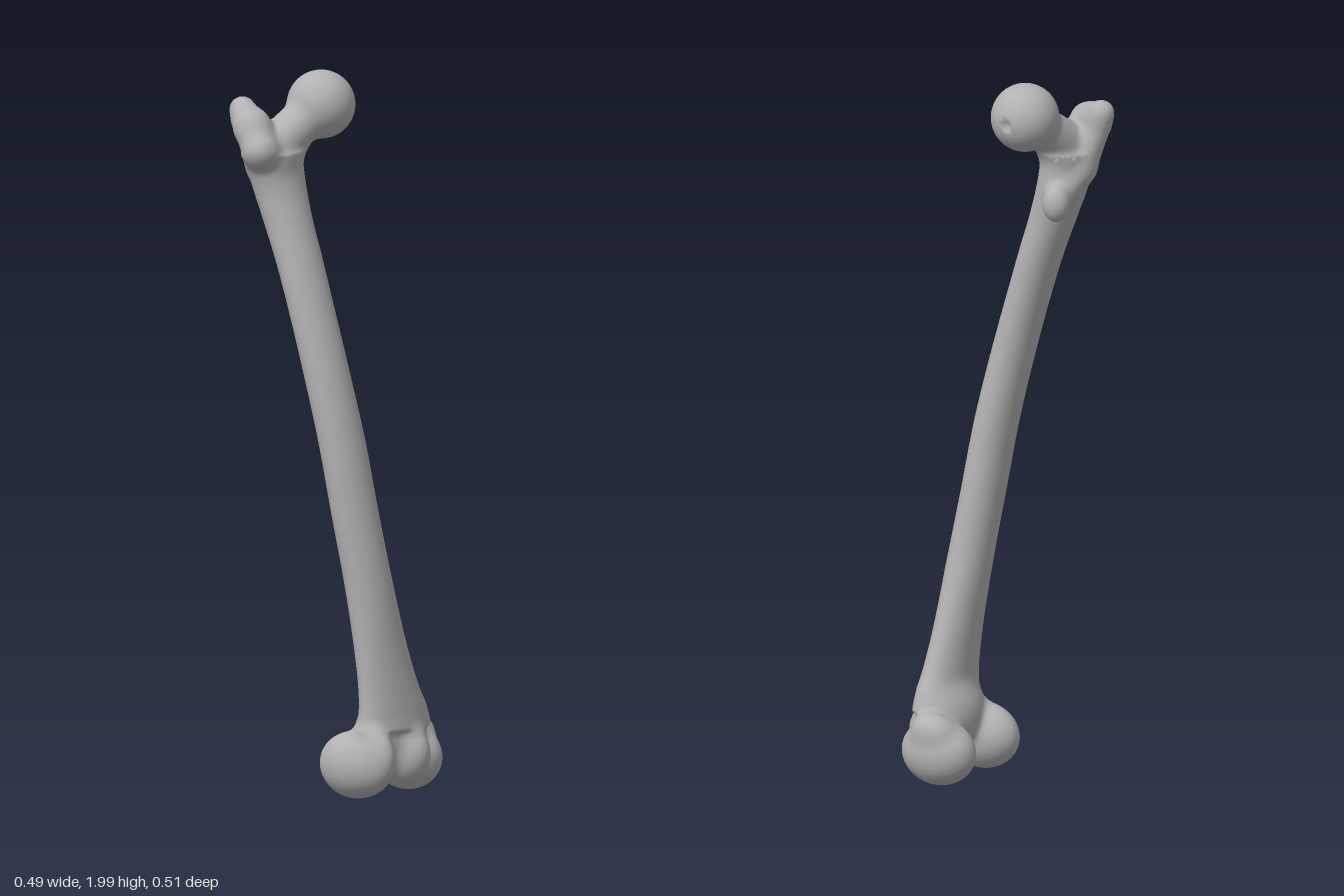
import * as THREE from 'three';

const bone = new THREE.MeshStandardMaterial({ color: 0xb2b2b2 });
bone.name = 'bone grey';

// Distance to an ellipsoid
function ellipsoid(cx, cy, cz, rx, ry, rz) {
  return (x, y, z) => {
    const a = (x - cx) / rx, b = (y - cy) / ry, c = (z - cz) / rz;
    const k0 = Math.hypot(a, b, c), k1 = Math.hypot(a / rx, b / ry, c / rz);
    return k1 < 1e-6 ? -Math.min(rx, ry, rz) : k0 * (k0 - 1) / k1;
  };
}

// Distance to a tapered rounded bar between two points
function bar([ax, ay, az], ra, [bx, by, bz], rb) {
  const dx = bx - ax, dy = by - ay, dz = bz - az, len2 = dx * dx + dy * dy + dz * dz;
  return (x, y, z) => {
    const t = THREE.MathUtils.clamp(((x - ax) * dx + (y - ay) * dy + (z - az) * dz) / len2, 0, 1);
    return Math.hypot(x - ax - dx * t, y - ay - dy * t, z - az - dz * t) - ra - (rb - ra) * t;
  };
}

// Bowed shaft: height, then centre x, centre z, radius x, radius z
const sections = [
  [0.18, 0.046, 0.16, 0.135, 0.064],
  [0.25, 0.040, 0.16, 0.122, 0.061],
  [0.30, 0.028, 0.158, 0.108, 0.058],
  [0.40, 0.008, 0.15, 0.092, 0.056],
  [0.60, -0.025, 0.13, 0.075, 0.059],
  [0.80, -0.052, 0.103, 0.073, 0.058],
  [1.00, -0.072, 0.072, 0.072, 0.058],
  [1.20, -0.090, 0.028, 0.070, 0.058],
  [1.40, -0.100, -0.028, 0.070, 0.058],
  [1.50, -0.103, -0.060, 0.071, 0.060],
  [1.60, -0.107, -0.095, 0.073, 0.064],
  [1.70, -0.112, -0.125, 0.082, 0.068],
  [1.80, -0.130, -0.135, 0.097, 0.068],
];
const profile = new THREE.CubicInterpolant(
  sections.map(s => s[0]), sections.flatMap(s => s.slice(1)), 4, new Float32Array(4));
function shaft(x, y, z) {
  const [cx, cz, rx, rz] = profile.evaluate(y);
  const side = (Math.hypot((x - cx) / rx, (z - cz) / rz) - 1) * Math.min(rx, rz);
  return Math.max(side, 0.2 - y, y - 1.78);
}

// Each form: part name, distance function, width of the blend into the others
const forms = [
  ['shaft', shaft, 0],
  // upper end
  ['neck', bar([-0.13, 1.79, -0.135], 0.064, [0.02, 1.9, -0.1], 0.057), 0.035],
  ['head', ellipsoid(0.029, 1.905, -0.095, 0.095, 0.095, 0.094), 0.018],
  ['greaterTrochanter', bar([-0.152, 1.898, -0.222], 0.036, [-0.182, 1.86, -0.16], 0.048), 0.025],
  ['greaterTrochanter', bar([-0.182, 1.86, -0.16], 0.046, [-0.198, 1.8, -0.115], 0.05), 0.025],
  ['trochantericCrest', bar([-0.15, 1.86, -0.215], 0.034, [-0.125, 1.74, -0.175], 0.038), 0.025],
  ['trochantericCrest', bar([-0.125, 1.74, -0.175], 0.034, [-0.05, 1.67, -0.155], 0.034), 0.025],
  ['lesserTrochanter', ellipsoid(-0.02, 1.66, -0.165, 0.038, 0.052, 0.039), 0.02],
  // lower end
  ['condyleBridge', ellipsoid(0.05, 0.17, 0.14, 0.12, 0.1, 0.075), 0.03],
  ['lateralCondyle', ellipsoid(-0.055, 0.1, 0.11, 0.078, 0.093, 0.114), 0.02],
  ['medialCondyle', ellipsoid(0.163, 0.1, 0.1, 0.08, 0.093, 0.112), 0.02],
  ['medialEpicondyle', ellipsoid(0.193, 0.165, 0.1, 0.048, 0.048, 0.062), 0.025],
  ['kneecapGroove', ellipsoid(-0.062, 0.125, 0.17, 0.046, 0.088, 0.08), 0.025],
  ['kneecapGroove', ellipsoid(0.072, 0.125, 0.175, 0.058, 0.085, 0.081), 0.025],
];
const dimple = ellipsoid(0.134, 1.9, -0.098, 0.02, 0.024, 0.022);

// All forms smoothly joined, with a small pit in the head
function field(x, y, z) {
  let d = Infinity;
  for (const [, dist, k] of forms) {
    const e = dist(x, y, z), h = Math.max(k - Math.abs(d - e), 0);
    d = Math.min(d, e) - (h > 0 ? h * h / (4 * k) : 0);
  }
  return Math.max(d, -dimple(x, y, z));
}

function gradient(p) {
  const e = 0.003;
  return new THREE.Vector3(
    field(p.x + e, p.y, p.z) - field(p.x - e, p.y, p.z),
    field(p.x, p.y + e, p.z) - field(p.x, p.y - e, p.z),
    field(p.x, p.y, p.z + e) - field(p.x, p.y, p.z - e)).divideScalar(2 * e);
}

function nearestPart(p) {
  let best = Infinity, part = '';
  for (const [name, dist] of forms) {
    const d = dist(p.x, p.y, p.z);
    if (d < best) { best = d; part = name; }
  }
  return part;
}

export function createModel() {
  const h = 0.0115, n = [50, 182, 50], origin = [-0.285, -0.03, -0.295];
  const step = [1, n[0], n[0] * n[1]];
  const at = (i, j, k) => i + j * step[1] + k * step[2];
  const eachCell = (from, visit) => {
    for (let k = from; k < n[2] - 1; k++)
      for (let j = from; j < n[1] - 1; j++)
        for (let i = from; i < n[0] - 1; i++) visit(i, j, k, at(i, j, k));
  };

  // Sample the solid on a grid
  const values = new Float32Array(n[0] * n[1] * n[2]);
  for (let k = 0; k < n[2]; k++)
    for (let j = 0; j < n[1]; j++)
      for (let i = 0; i < n[0]; i++)
        values[at(i, j, k)] = field(origin[0] + i * h, origin[1] + j * h, origin[2] + k * h);

  // One skin point in each cell that the surface crosses
  const points = new Map();
  eachCell(0, (i, j, k, id) => {
    let inside = 0;
    for (let c = 0; c < 8; c++)
      if (values[at(i + (c & 1), j + (c >> 1 & 1), k + (c >> 2))] < 0) inside++;
    if (inside === 0 || inside === 8) return;
    const p = new THREE.Vector3(i + 0.5, j + 0.5, k + 0.5).multiplyScalar(h)
      .add(new THREE.Vector3(...origin));
    const home = p.clone();
    for (let s = 0; s < 4; s++) {
      const g = gradient(p);
      p.addScaledVector(g, -field(p.x, p.y, p.z) / Math.max(g.lengthSq(), 0.2));
    }
    p.sub(home).clampScalar(-0.6 * h, 0.6 * h).add(home);
    points.set(id, { p, normal: gradient(p).normalize(), part: nearestPart(p) });
  });

  // Join neighbouring points into faces, sorted by part
  const parts = {};
  eachCell(1, (i, j, k, id) => {
    for (let a = 0; a < 3; a++) {
      const inside = values[id] < 0;
      if (inside === values[id + step[a]] < 0) continue;
      const b = step[(a + 1) % 3], c = step[(a + 2) % 3];
      const quad = [id - b - c, id - c, id, id - b].map(q => points.get(q));
      if (!inside) quad.reverse();
      const out = parts[quad[0].part] ??= { position: [], normal: [] };
      for (const q of [0, 1, 2, 0, 2, 3]) {
        out.position.push(...quad[q].p.toArray());
        out.normal.push(...quad[q].normal.toArray());
      }
    }
  });

  const group = new THREE.Group();
  group.name = 'thighBone';
  for (const [name, data] of Object.entries(parts)) {
    const geometry = new THREE.BufferGeometry();
    for (const key of ['position', 'normal'])
      geometry.setAttribute(key, new THREE.Float32BufferAttribute(data[key], 3));
    const mesh = new THREE.Mesh(geometry, bone);
    mesh.name = name;
    group.add(mesh);
  }
  return group;
}
